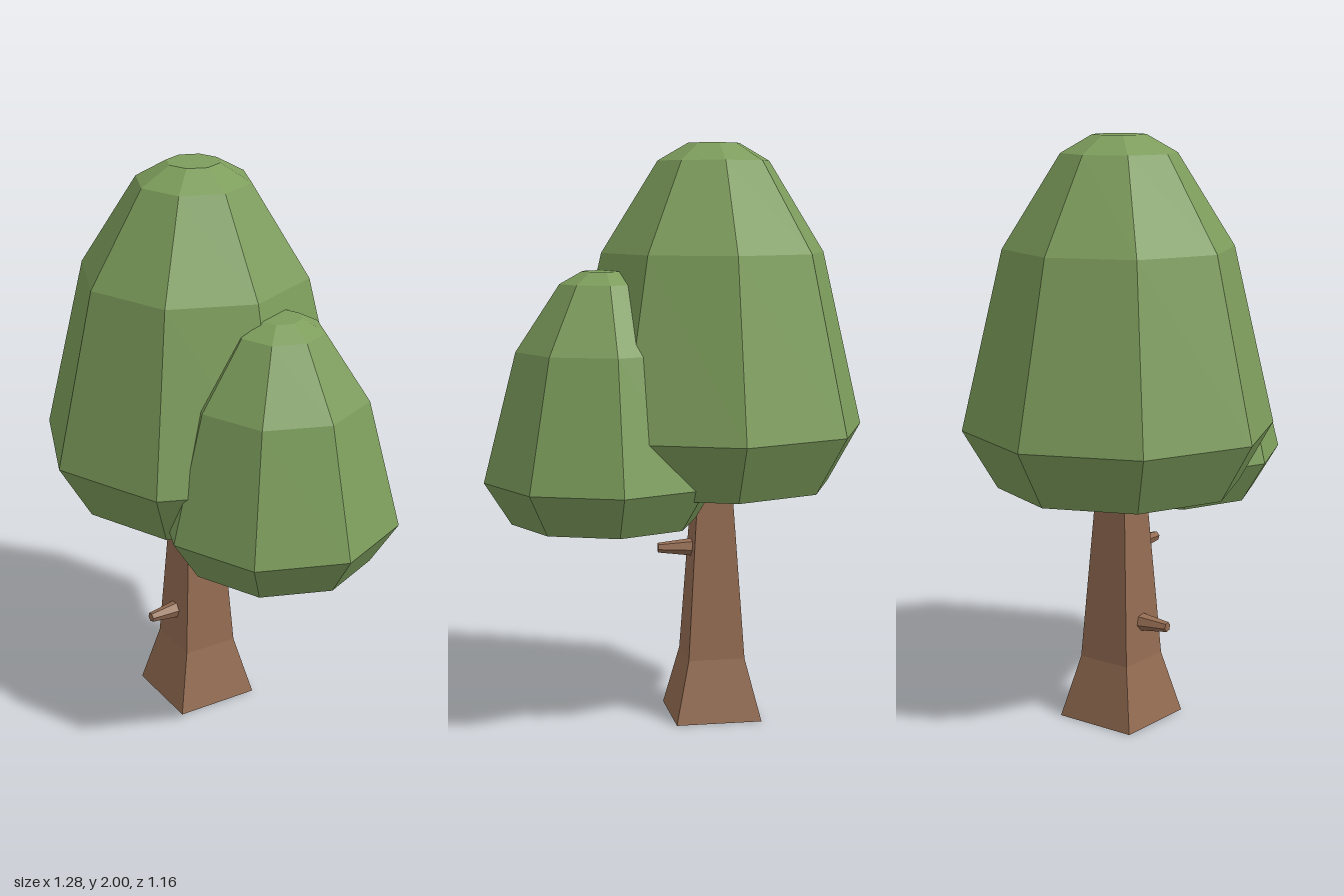
import * as THREE from 'three';

const leaf = new THREE.MeshStandardMaterial({ color: 0x7d9d5c, flatShading: true });
const bark = new THREE.MeshStandardMaterial({ color: 0x946c52, flatShading: true });

// Faceted solid of revolution from [radius, height] pairs, listed bottom to top
function turned(name, profile, sides, material, x, z, turn) {
  const points = profile.map(([r, y]) => new THREE.Vector2(r, y));
  const mesh = new THREE.Mesh(new THREE.LatheGeometry(points, sides), material);
  mesh.name = name;
  mesh.position.set(x, 0, z);
  mesh.rotation.y = turn;
  return mesh;
}

// Short tapered stub joining two points
function stub(name, from, to) {
  const a = new THREE.Vector3(...from);
  const b = new THREE.Vector3(...to);
  const direction = b.clone().sub(a);
  const mesh = new THREE.Mesh(new THREE.CylinderGeometry(0.017, 0.033, direction.length(), 6), bark);
  mesh.name = name;
  mesh.position.copy(a).add(b).multiplyScalar(0.5);
  mesh.quaternion.setFromUnitVectors(new THREE.Vector3(0, 1, 0), direction.normalize());
  return mesh;
}

export function createModel() {
  const tree = new THREE.Group();
  tree.name = 'tree';

  // Square trunk with a flared foot, one corner facing forward
  tree.add(turned('trunk', [[0, 0], [0.212, 0], [0.14, 0.215], [0.078, 0.9], [0, 0.9]],
    4, bark, -0.107, -0.045, 0));

  // Octagonal crowns
  tree.add(turned('largeCrown',
    [[0, 0.825], [0.415, 0.825], [0.532, 1.025], [0.39, 1.63], [0.195, 1.94], [0.09, 2], [0, 2]],
    8, leaf, -0.107, -0.05, 0.015));
  tree.add(turned('smallCrown',
    [[0, 0.72], [0.318, 0.72], [0.41, 0.865], [0.298, 1.305], [0.148, 1.53], [0.072, 1.572], [0, 1.572]],
    8, leaf, 0.233, 0.167, 0.03));

  // Broken branch stubs on the two front faces of the trunk
  tree.add(stub('upperBranch', [-0.07, -0.008], [0.024, 0.094]).translateX(0) && stub('upperBranch', [-0.07, 0.6, -0.008], [0.024, 0.6, 0.094]));
  tree.add(stub('lowerBranch', [-0.155, 0.35, 0.003], [-0.238, 0.35, 0.097]));

  return tree;
}
